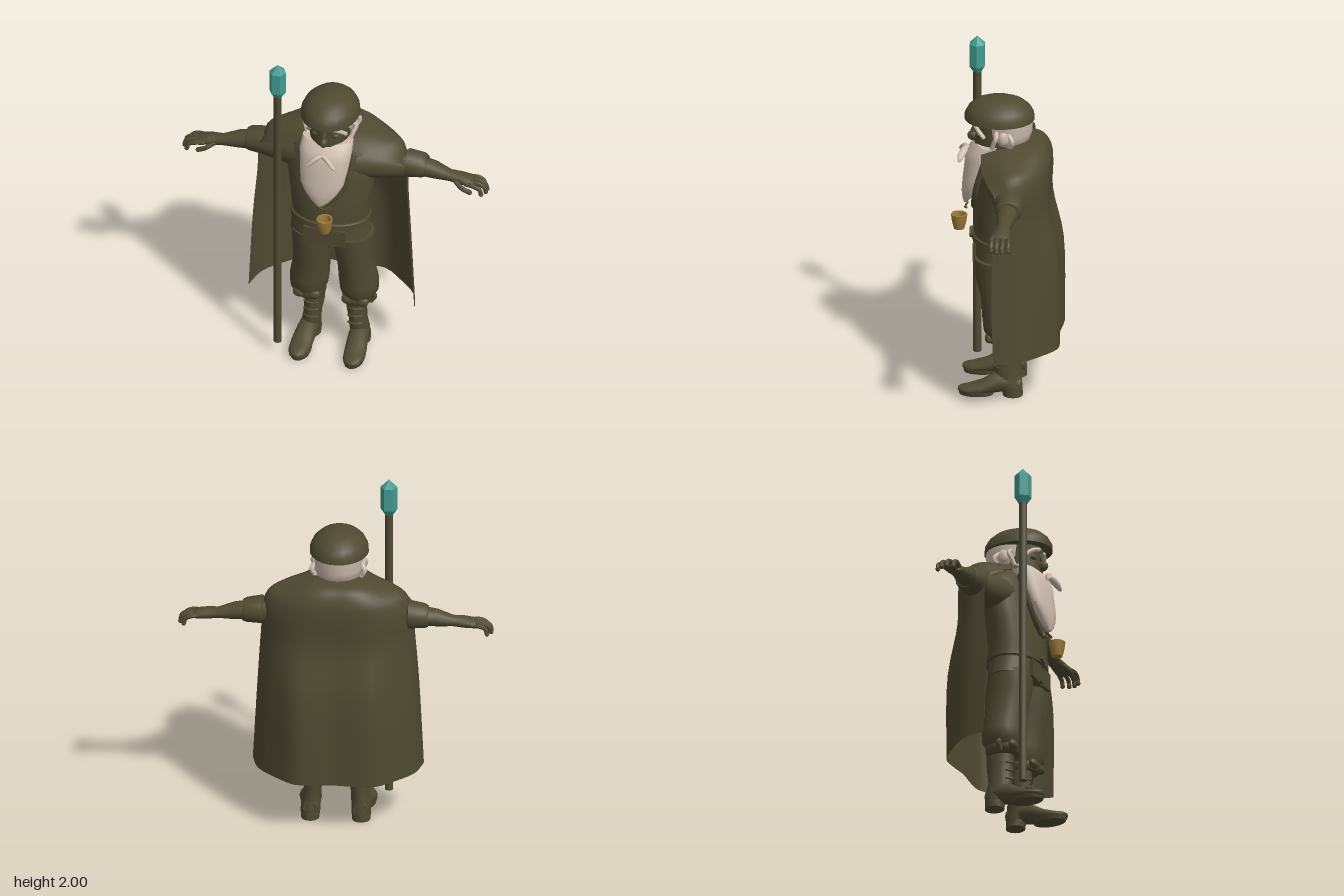
import * as THREE from 'three';
import { toCreasedNormals, mergeGeometries } from 'three/addons/utils/BufferGeometryUtils.js';

const flat = (name, color) => Object.assign(new THREE.MeshStandardMaterial({ color }), { name });

// Skin a list of rings (arrays of [x, y, z]); closed rings also get end caps.
function skin(rings, closed = true) {
  const n = rings[0].length, pos = rings.flat(2), idx = [];
  for (let j = 0; j < rings.length - 1; j++)
    for (let i = 0; i < (closed ? n : n - 1); i++) {
      const a = j * n + i, b = j * n + (i + 1) % n;
      idx.push(a, a + n, b, b, a + n, b + n);
    }
  if (closed) {
    const last = (rings.length - 1) * n;
    for (let i = 1; i < n - 1; i++) idx.push(0, i, i + 1, last, last + i + 1, last + i);
  }
  const g = new THREE.BufferGeometry();
  g.setAttribute('position', new THREE.Float32BufferAttribute(pos, 3));
  g.setIndex(idx);
  return g;
}

// Elliptical lofts along an axis; each row is [station, centre1, radius1, centre2, radius2]
// with the two cross axes in alphabetical order.
function loft(axis, rows, n = 20) {
  return skin(rows.map(([t, c1, r1, c2, r2]) => Array.from({ length: n }, (_, i) => {
    const a = i / n * Math.PI * 2, s = Math.sin(a), c = Math.cos(a);
    if (axis === 'y') return [c1 + c * r1, t, c2 + s * r2];
    if (axis === 'x') return [t, c1 + s * r1, c2 + c * r2];
    return [c1 + s * r1, c2 + c * r2, t];
  })));
}

const ball = (x, y, z, rx, ry, rz) =>
  new THREE.SphereGeometry(1, 16, 10).scale(rx, ry, rz).translate(x, y, z);

// Rounded cord through points
function cord(points, r) {
  const v = points.map(p => new THREE.Vector3(...p));
  const end = v[v.length - 1], start = v[0];
  return mergeGeometries([
    new THREE.TubeGeometry(new THREE.CatmullRomCurve3(v), 10, r, 8),
    ball(end.x, end.y, end.z, r, r, r), ball(start.x, start.y, start.z, r, r, r)]);
}

// Mirror in x with the triangle order turned back
function mirrored(geo) {
  const g = geo.clone().scale(-1, 1, 1), a = g.index.array;
  for (let i = 0; i < a.length; i += 3) [a[i], a[i + 1]] = [a[i + 1], a[i]];
  return g;
}

export function createModel() {
  const olive = flat('olive cloth', 0x504a32), cream = flat('cream hair', 0xcdbdae);
  const teal = flat('teal crystal', 0x419c92), gold = flat('gold cup', 0x9c7a38);
  olive.side = THREE.DoubleSide;
  const root = new THREE.Group();
  root.name = 'cloakedElder';
  const add = (name, geo, mat = olive, crease = 0.7) => {
    const mesh = new THREE.Mesh(toCreasedNormals(geo, crease), mat);
    mesh.name = name;
    root.add(mesh);
    return mesh;
  };
  const pair = (name, geo, mat, dx = 0) => {
    add('left' + name, geo.clone().translate(dx, 0, 0), mat);
    add('right' + name, mirrored(geo).translate(dx, 0, 0), mat);
  };
  const HX = -0.013; // head centre line

  // Staff and crystal
  add('staff', new THREE.CylinderGeometry(0.023, 0.023, 1.72, 12).translate(-0.28, 0.935, 0.19));
  const crystal = [[0, 1.783], [0.024, 1.783], [0.048, 1.82], [0.048, 1.953], [0, 2]];
  add('crystal', new THREE.LatheGeometry(crystal.map(p => new THREE.Vector2(...p)), 6)
    .rotateY(Math.PI / 6).translate(-0.28, 0, 0.19), teal, 0.1);

  // Cap
  const cap = [[1.62, 0.166, 0.197], [1.655, 0.163, 0.195], [1.69, 0.146, 0.176],
    [1.72, 0.115, 0.142], [1.74, 0.075, 0.095], [1.75, 0.025, 0.035]];
  add('cap', loft('y', cap.map(([y, rx, rz]) => [y, HX, rx, 0.043, rz]), 24));

  // Head, nose, eyelids
  add('face', loft('y', [[1.4, HX, 0.09, 0.06, 0.11], [1.48, HX, 0.112, 0.05, 0.135],
    [1.53, HX, 0.115, 0.05, 0.13], [1.63, HX, 0.115, 0.05, 0.14]]));
  add('nose', ball(HX, 1.51, 0.19, 0.024, 0.03, 0.034));
  add('noseBridge', cord([[HX, 1.58, 0.178], [HX, 1.52, 0.2]], 0.013));
  pair('Eyelid', ball(0.055, 1.545, 0.158, 0.026, 0.014, 0.016), olive, HX);

  // Hair, side locks, brows, moustache
  add('hair', loft('y', [[1.48, HX, 0.1, -0.01, 0.09], [1.5, HX, 0.122, -0.01, 0.115],
    [1.55, HX, 0.135, -0.003, 0.138], [1.63, HX, 0.138, -0.003, 0.142]]), cream);
  pair('Ear', ball(0.135, 1.55, 0.01, 0.018, 0.04, 0.03), cream, HX);
  pair('SideLock', cord([[0.125, 1.58, 0.05], [0.15, 1.56, 0.05], [0.138, 1.52, 0.065], [0.12, 1.47, 0.08]], 0.013), cream, HX);
  pair('BackCurl', cord([[0.13, 1.57, -0.02], [0.148, 1.54, -0.04], [0.13, 1.5, -0.03]], 0.014), cream, HX);
  pair('Brow', cord([[0.035, 1.6, 0.183], [0.075, 1.585, 0.165], [0.108, 1.545, 0.125]], 0.012), cream, HX);
  pair('Moustache', loft('x', [[-0.002, 1.44, 0.012, 0.225, 0.016], [0.03, 1.43, 0.019, 0.24, 0.022],
    [0.06, 1.405, 0.019, 0.255, 0.02], [0.085, 1.385, 0.008, 0.262, 0.01]], 12), cream, HX);

  // Beard: rows are [y, half width, back z, front z]
  const beard = [[1.1, 0.018, 0.225, 0.245], [1.13, 0.055, 0.2, 0.252], [1.18, 0.093, 0.18, 0.256],
    [1.24, 0.125, 0.15, 0.252], [1.32, 0.138, 0.1, 0.243], [1.39, 0.146, 0.06, 0.235],
    [1.44, 0.15, 0.04, 0.218], [1.485, 0.145, 0.02, 0.17]];
  add('beard', loft('y', beard.map(([y, r, b, f]) => [y, HX - (1.485 - y) * 0.03, r, (b + f) / 2, (f - b) / 2]), 24), cream);

  // Pipe stem and cup
  add('stem', cord([[-0.045, 1.085, 0.225], [-0.005, 1.075, 0.235], [0.03, 1.085, 0.225]], 0.006));
  const cup = [[0, 0.95], [0.03, 0.95], [0.04, 0.99], [0.047, 1.037], [0.036, 1.037], [0.026, 0.97], [0, 0.968]];
  add('cup', new THREE.LatheGeometry(cup.map(p => new THREE.Vector2(...p)), 12).translate(0.012, 0, 0.268), gold);

  // Jacket, belt and skirt flaps
  add('jacket', loft('y', [[0.88, HX, 0.215, 0.035, 0.148], [0.98, HX, 0.222, 0.035, 0.152], [1.1, HX, 0.235, 0.03, 0.15],
    [1.22, HX, 0.255, 0.01, 0.15], [1.33, HX, 0.265, -0.01, 0.15], [1.4, HX, 0.23, -0.02, 0.14], [1.47, HX, 0.12, 0, 0.1]], 28));
  add('jacketSkirt', loft('y', [[0.8, HX, 0.232, 0.035, 0.15], [0.9, HX, 0.215, 0.035, 0.15]], 28));
  pair('SkirtFlap', new THREE.ExtrudeGeometry(new THREE.Shape([[0.01, 0.895], [0.025, 0.785], [0.12, 0.79], [0.12, 0.895]]
    .map(p => new THREE.Vector2(...p))), { depth: 0.02, bevelEnabled: false }).translate(0, 0, 0.165)
    .toNonIndexed().setIndex([...Array(60).keys()].slice(0, 36)), olive, HX);
  add('belt', loft('y', [[0.9, HX, 0.222, 0.035, 0.157], [0.905, HX, 0.23, 0.035, 0.163],
    [0.935, HX, 0.23, 0.035, 0.163], [0.94, HX, 0.222, 0.035, 0.157]], 28));
  add('buckle', new THREE.CylinderGeometry(0.045, 0.05, 0.02, 4).rotateX(Math.PI / 2).scale(1, 0.75, 1)
    .translate(HX, 0.92, 0.2), olive, 0.2);
  // Jacket lapels edging the beard
  pair('Lapel', cord([[0.155, 1.4, 0.12], [0.135, 1.26, 0.16], [0.09, 1.16, 0.178], [0.02, 1.09, 0.185]], 0.016), olive, HX);

  // Trousers, knee cuffs with knots
  pair('Trouser', loft('y', [[0.36, 0.14, 0.085, 0.01, 0.09], [0.4, 0.145, 0.108, 0.005, 0.115],
    [0.46, 0.142, 0.112, 0.005, 0.122], [0.58, 0.128, 0.103, 0.015, 0.12], [0.7, 0.12, 0.112, 0.03, 0.135], [0.82, 0.113, 0.122, 0.04, 0.13]]));
  pair('KneeCuff', loft('y', [[0.325, 0.135, 0.075, 0.005, 0.09], [0.34, 0.138, 0.088, 0.005, 0.1],
    [0.375, 0.14, 0.09, 0.005, 0.102], [0.395, 0.14, 0.08, 0.005, 0.09]]));
  for (const dx of [-0.04, 0.04]) pair('CuffBow', ball(0.14 + dx, 0.36, 0.085, 0.04, 0.03, 0.025));
  pair('CuffTie', cord([[0.21, 0.4, 0.03], [0.235, 0.365, 0.02], [0.215, 0.33, 0.02]], 0.016));

  // Boots: shaft, foot, heel and laces
  pair('BootShaft', loft('y', [[0.04, 0.142, 0.055, -0.04, 0.06], [0.1, 0.14, 0.055, -0.02, 0.075], [0.17, 0.132, 0.05, -0.015, 0.07],
    [0.25, 0.122, 0.056, -0.02, 0.078], [0.34, 0.12, 0.06, -0.02, 0.083]]));
  pair('BootFoot', loft('z', [[-0.09, 0.14, 0.04, 0.07, 0.045], [-0.03, 0.142, 0.055, 0.085, 0.055],
    [0.05, 0.147, 0.058, 0.078, 0.06], [0.13, 0.155, 0.063, 0.05, 0.04], [0.2, 0.158, 0.058, 0.037, 0.029],
    [0.245, 0.16, 0.04, 0.036, 0.021], [0.262, 0.16, 0.015, 0.038, 0.01]], 16));
  pair('BootSole', loft('y', [[0.006, 0.155, 0.055, 0.16, 0.095], [0.028, 0.155, 0.062, 0.16, 0.1]]));
  pair('BootHeel', loft('y', [[0, 0.143, 0.052, -0.045, 0.056], [0.06, 0.143, 0.055, -0.04, 0.06]], 14));
  for (const y of [0.17, 0.22, 0.27])
    pair('BootLace', cord([[0.09, y, 0.042], [0.128, y + 0.005, 0.06], [0.165, y, 0.038]], 0.007));

  // Arms: sleeve, rolled cuff, forearm and palm
  pair('Sleeve', loft('x', [[0.14, 1.3, 0.11, 0, 0.12], [0.3, 1.285, 0.092, -0.02, 0.09], [0.43, 1.275, 0.072, -0.045, 0.072]]));
  pair('SleeveCuff', loft('x', [[0.4, 1.28, 0.065, -0.045, 0.065], [0.41, 1.282, 0.082, -0.045, 0.08],
    [0.5, 1.278, 0.07, -0.05, 0.074], [0.52, 1.275, 0.06, -0.05, 0.064]]));
  pair('Forearm', loft('x', [[0.48, 1.275, 0.055, -0.045, 0.06], [0.57, 1.265, 0.049, -0.042, 0.055],
    [0.66, 1.247, 0.031, -0.036, 0.038], [0.72, 1.242, 0.033, -0.034, 0.045], [0.78, 1.236, 0.025, -0.032, 0.052], [0.8, 1.232, 0.015, -0.032, 0.045]], 16));
  [-0.075, -0.043, -0.011, 0.02].forEach((z, i) => {
    const e = i === 0 || i === 3 ? 0.02 : 0;
    pair('Finger' + (i + 1), cord([[0.76, 1.236, z * 0.8 - 0.005], [0.825 - e, 1.235, z], [0.862 - e, 1.218, z], [0.871 - e, 1.188, z]], 0.013));
  });
  pair('Thumb', cord([[0.7, 1.235, 0], [0.74, 1.212, 0.022], [0.785, 1.19, 0.02]], 0.014));

  // Cloak: half sections from the back centre round to the front edge, hem to neck
  const level = (y, xz) => xz.map(([x, z, dy = 0]) => [x, y + dy, z]);
  const cloak = [
    level(0.32, [[0, -0.295], [0.11, -0.305], [0.22, -0.303], [0.34, -0.21], [0.44, -0.1], [0.48, 0.04]]),
    level(0.84, [[0, -0.285], [0.11, -0.298], [0.22, -0.295], [0.33, -0.205], [0.42, -0.095], [0.452, 0.05]]),
    level(1.13, [[0, -0.242], [0.11, -0.245], [0.215, -0.235], [0.33, -0.17], [0.41, -0.08], [0.432, 0.025]]),
    level(1.32, [[0, -0.25], [0.11, -0.25], [0.22, -0.23], [0.335, -0.165], [0.412, -0.075], [0.415, 0.04]]),
    level(1.41, [[0, -0.243], [0.1, -0.243], [0.2, -0.222], [0.31, -0.15], [0.385, -0.05], [0.35, 0.085, -0.05]]),
    level(1.47, [[0, -0.205, 0.015], [0.09, -0.205, 0.015], [0.17, -0.175, 0.01], [0.25, -0.1, -0.01], [0.295, 0, -0.02], [0.24, 0.125, -0.06]]),
    level(1.51, [[0, -0.1], [0.05, -0.098], [0.09, -0.08], [0.125, -0.03, -0.01], [0.145, 0.04, -0.02], [0.15, 0.135, -0.05]]),
  ].map(half => [...half.slice(1).reverse().map(([x, y, z]) => [-x, y, z]), ...half]
    .reverse().map(([x, y, z]) => [x - 0.008, y, z]));
  // Smooth the sections along and across before skinning
  const smooth = (line, n) => new THREE.CatmullRomCurve3(line.map(p => new THREE.Vector3(...p))).getPoints(n).map(v => v.toArray());
  const across = cloak.map(r => smooth(r, 30));
  const columns = across[0].map((_, i) => {
    const curve = new THREE.CatmullRomCurve3(across.map(r => new THREE.Vector3(...r[i])), false, 'centripetal');
    return Array.from({ length: 25 }, (_, k) => curve.getPoint(k / 24).toArray());
  });
  add('cloak', skin(columns[0].map((_, k) => columns.map(c => c[k])).map(r => r.reverse()), false));

  return root;
}
